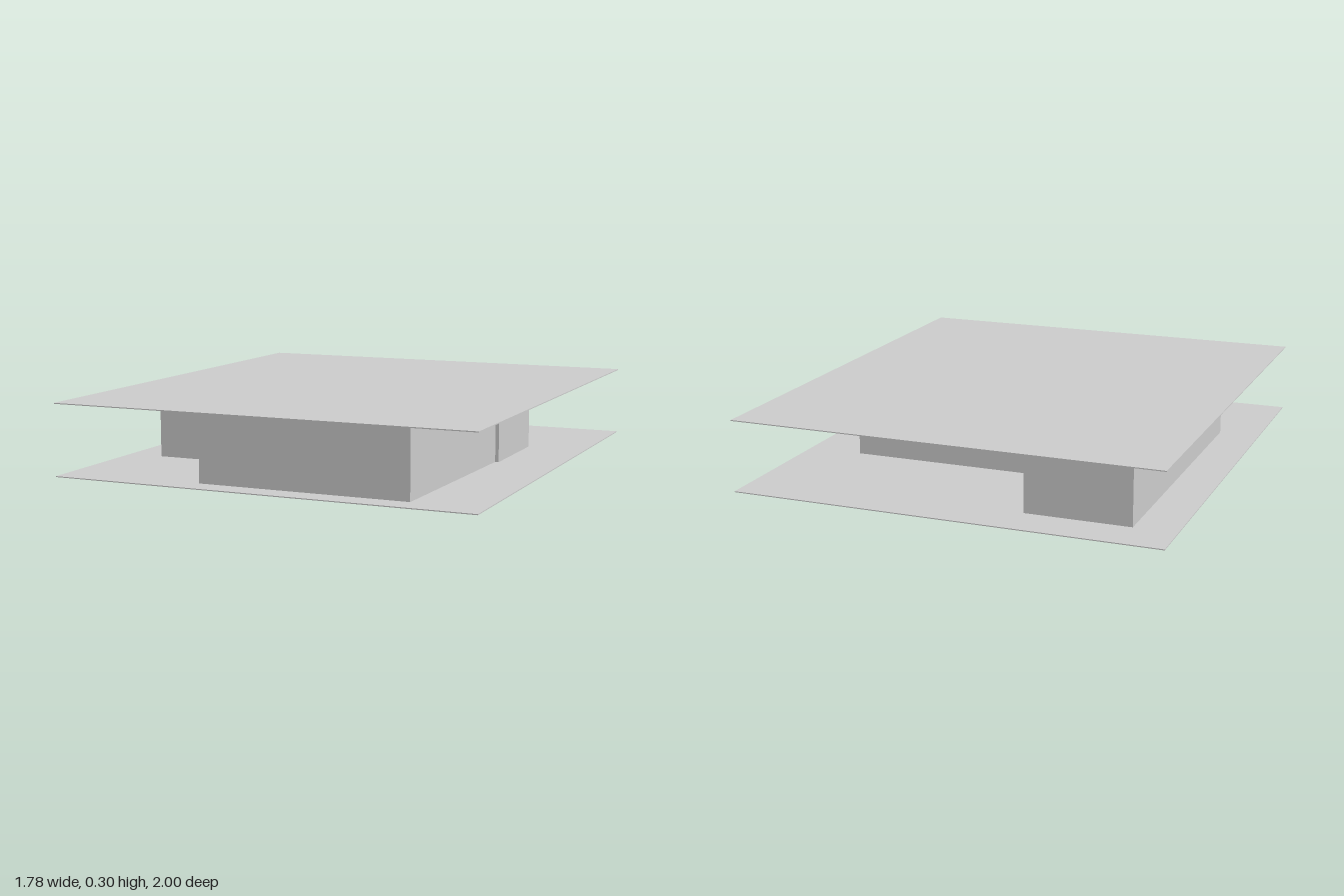
import * as THREE from 'three';

export function createModel() {
  const group = new THREE.Group();
  const material = new THREE.MeshStandardMaterial({ color: 0xcccccc, flatShading: true });

  const add = (name, geometry, y) => {
    const mesh = new THREE.Mesh(geometry, material);
    mesh.name = name;
    mesh.position.y = y;
    group.add(mesh);
  };

  // Thin floor and roof slabs
  const thickness = 0.004;
  const slab = new THREE.BoxGeometry(1.78, thickness, 2);
  add('floorSlab', slab, thickness / 2);
  add('roofSlab', slab, 0.3 - thickness / 2);

  // Stepped plan of the walled block between the slabs, as [x, z]
  const plan = [
    [-0.275, 0.93], [0.605, 0.93], [0.63, 0.03], [0.645, 0.03], [0.645, -0.39],
    [-0.285, -0.39], [-0.285, -0.84], [-0.72, -0.84], [-0.72, 0.47], [-0.275, 0.47],
  ];
  const shape = new THREE.Shape(plan.map(([x, z]) => new THREE.Vector2(x, -z)));
  const block = new THREE.ExtrudeGeometry(shape, { depth: 0.285, bevelEnabled: false });
  block.rotateX(-Math.PI / 2);
  add('wallBlock', block, 0.01);

  return group;
}
